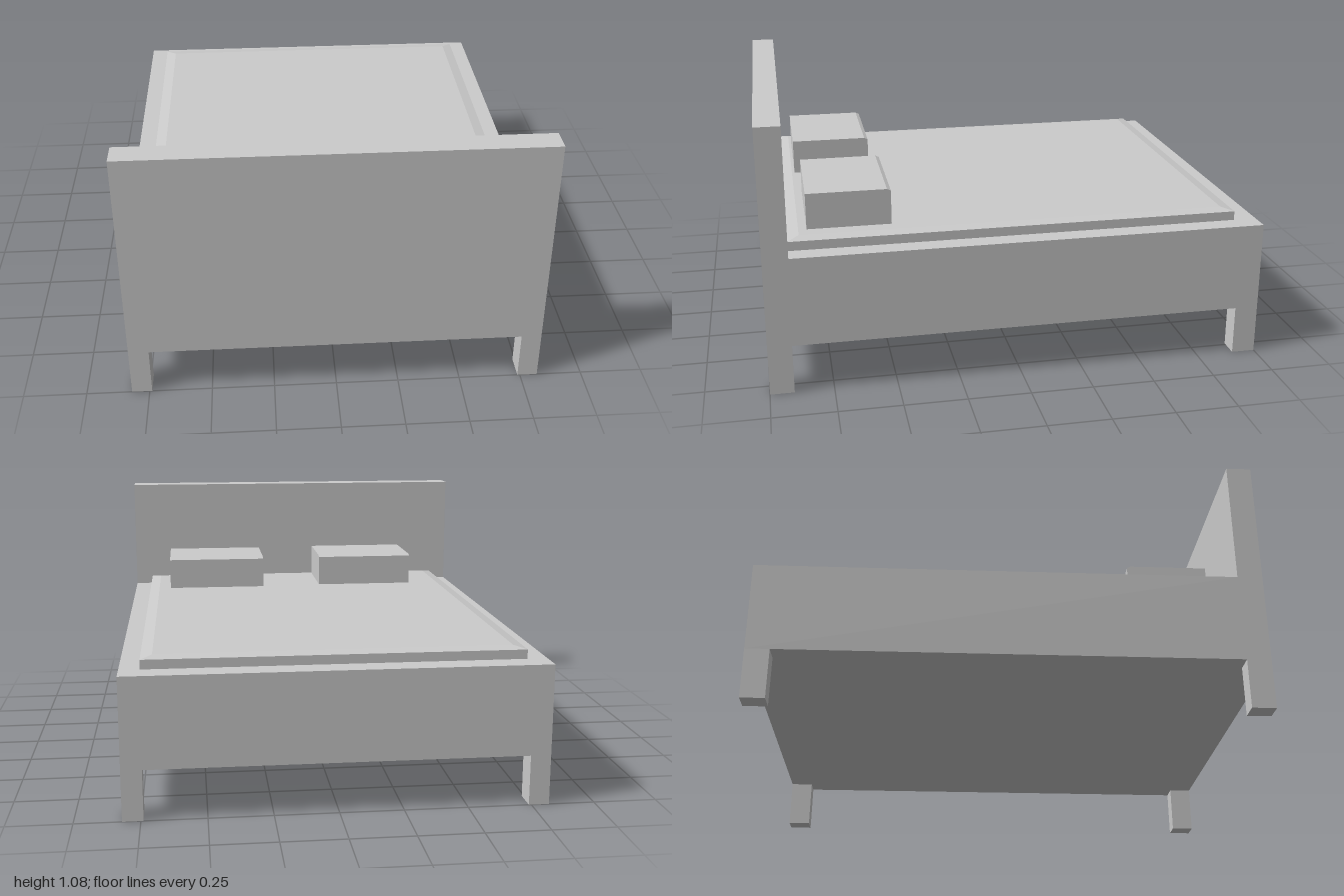
import * as THREE from 'three';

const material = new THREE.MeshStandardMaterial({ color: 0xcccccc, flatShading: true });

function add(group, name, geometry, x, y, z) {
  const mesh = new THREE.Mesh(geometry, material);
  mesh.name = name;
  mesh.position.set(x, y, z);
  group.add(mesh);
  return mesh;
}

// Box given by its bottom and top heights
function addBox(group, name, w, d, y0, y1, x, z) {
  return add(group, name, new THREE.BoxGeometry(w, y1 - y0, d), x, (y0 + y1) / 2, z);
}

// Slab with upright sides and a shallow sloped border around the top
function mattressGeometry(w, h, d, slope, inset) {
  const geometry = new THREE.BoxGeometry(w, h, d, 1, 2, 1);
  const p = geometry.attributes.position;
  for (let i = 0; i < p.count; i++) {
    const y = p.getY(i);
    if (Math.abs(y) < 1e-6) p.setY(i, h / 2 - slope);
    else if (y > 0) {
      p.setX(i, p.getX(i) - Math.sign(p.getX(i)) * inset);
      p.setZ(i, p.getZ(i) - Math.sign(p.getZ(i)) * inset);
    }
  }
  geometry.computeVertexNormals();
  return geometry;
}

// Block pillow with one chamfered upper edge, facing the foot of the bed
function pillowGeometry(w, h, d) {
  const c = 0.015;
  const side = new THREE.Shape([
    new THREE.Vector2(-d / 2, 0), new THREE.Vector2(d / 2, 0),
    new THREE.Vector2(d / 2, h - 0.007), new THREE.Vector2(d / 2 - c, h),
    new THREE.Vector2(-d / 2, h),
  ]);
  const geometry = new THREE.ExtrudeGeometry(side, { depth: w, bevelEnabled: false });
  geometry.translate(0, 0, -w / 2);
  geometry.rotateY(Math.PI / 2);
  return geometry;
}

export function createModel() {
  const bed = new THREE.Group();
  bed.name = 'bed';

  // Frame and headboard
  addBox(bed, 'frame', 1.64, 1.9, 0.2, 0.56, 0, -0.05);
  addBox(bed, 'headboard', 1.64, 0.1, 0.2, 1.075, 0, 0.95);

  // Legs at the four corners
  for (const sx of [-1, 1]) for (const sz of [-1, 1]) {
    addBox(bed, 'leg', 0.08, 0.095, 0, 0.2, sx * 0.78, sz * 0.9525);
  }

  // Mattress
  add(bed, 'mattress', mattressGeometry(1.48, 0.046, 1.805, 0.009, 0.045), 0, 0.583, -0.0025);

  // Pillows, slightly out of line with each other
  const pillow = pillowGeometry(0.456, 0.147, 0.333);
  add(bed, 'rightPillow', pillow, -0.324, 0.604, 0.677);
  add(bed, 'leftPillow', pillow, 0.412, 0.604, 0.656);

  return bed;
}
